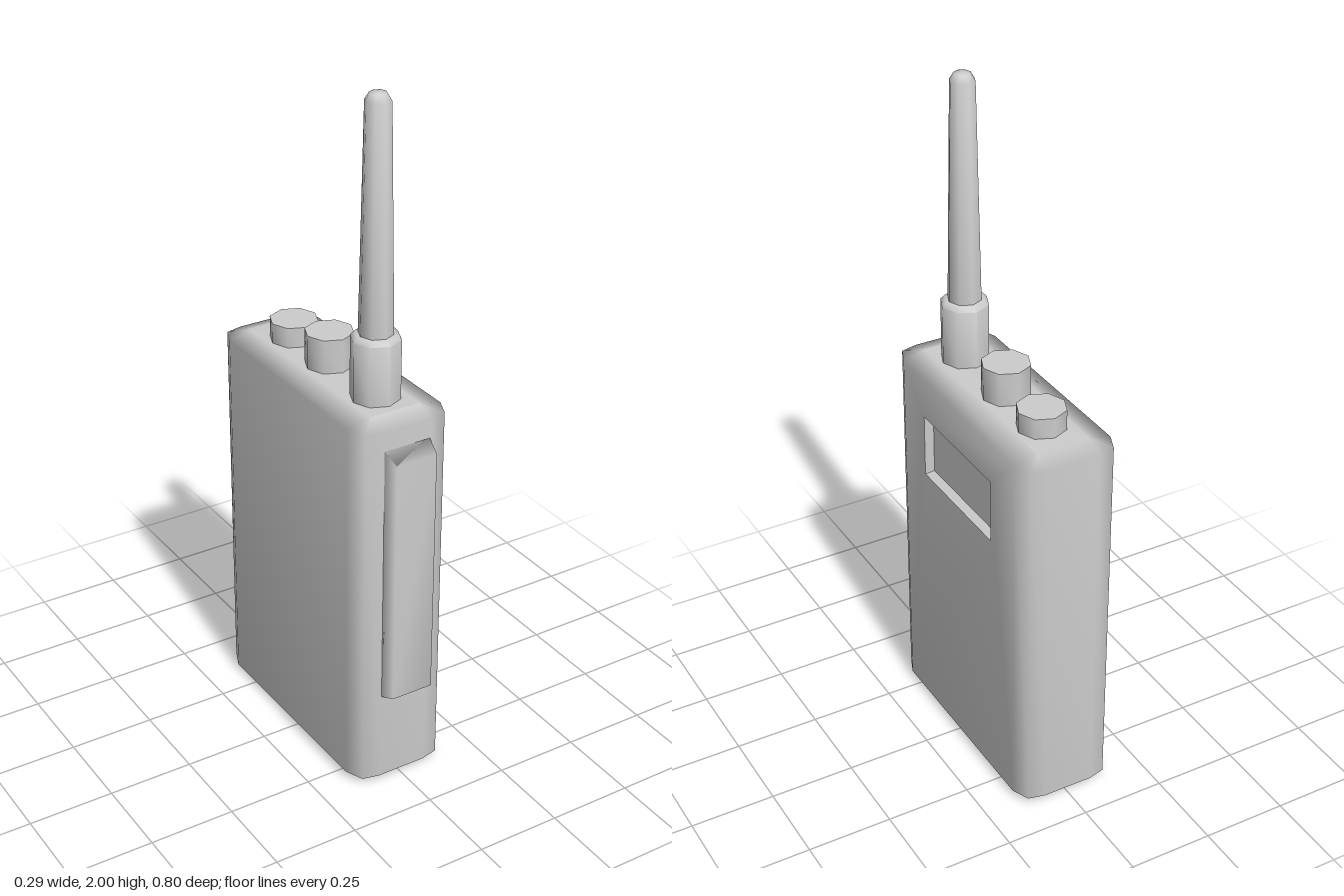
import * as THREE from 'three';
import { mergeVertices, mergeGeometries, toCreasedNormals } from 'three/addons/utils/BufferGeometryUtils.js';

const material = new THREE.MeshStandardMaterial({ color: 0xcccccc });

function addMesh(parent, name, geometry) {
  const mesh = new THREE.Mesh(geometry, material);
  mesh.name = name;
  parent.add(mesh);
  return mesh;
}

// Weld a geometry by position and shade it smoothly
function smooth(geometry) {
  geometry.deleteAttribute('uv');
  geometry.deleteAttribute('normal');
  const welded = mergeVertices(geometry, 1e-4);
  welded.computeVertexNormals();
  return welded;
}

const SIDE_X = 0.147;
const CORE = { x: 0.075, front: 0.29, back: -0.336 };
const RECESS = { front: 0.17, back: -0.21, bottom: 0.82, top: 1.01 };

// Horizontal outline with chamfered corners; spread 1 is full size, 0 the inner rectangle
function outline(y, spread) {
  const chamfer = [[0.072, 0], [0.05, 0.052], [0, 0.064]];
  const points = [];
  for (const [sx, sz] of [[1, 1], [-1, 1], [-1, -1], [1, -1]]) {
    const corner = chamfer.map(([dx, dz]) => [
      sx * (CORE.x + dx * spread), y, (sz > 0 ? CORE.front : CORE.back) + sz * dz * spread]);
    points.push(...(sx * sz > 0 ? corner : corner.reverse()));
  }
  return points;
}

function bodyGeometry() {
  const rings = [outline(0, 0.05), outline(0.02, 1), outline(1.132, 1), outline(1.15, 0.05)];
  const n = rings[0].length;
  const index = [];
  for (let i = 0; i < rings.length - 1; i++) {
    for (let j = 0; j < n; j++) {
      if (i === 1 && j === n - 1) continue; // left side is the panel with the opening
      const k = (j + 1) % n;
      const a = i * n + j, b = i * n + k, c = b + n, d = a + n;
      index.push(a, d, c, a, c, b);
    }
  }
  const top = (rings.length - 1) * n;
  for (let j = 1; j < n - 1; j++) {
    index.push(0, j, j + 1, top, top + j + 1, top + j);
  }
  const shell = new THREE.BufferGeometry();
  shell.setAttribute('position', new THREE.Float32BufferAttribute(rings.flat(2), 3));
  shell.setIndex(index);

  // Side panel with a rectangular opening
  const rect = (Type, z0, z1, y0, y1) => new Type(
    [[-z0, y0], [-z1, y0], [-z1, y1], [-z0, y1]].map(([x, y]) => new THREE.Vector2(x, y)));
  const shape = rect(THREE.Shape, CORE.front, CORE.back, 0.02, 1.132);
  shape.holes.push(rect(THREE.Path, RECESS.front, RECESS.back, RECESS.bottom, RECESS.top));
  const panel = new THREE.ShapeGeometry(shape).rotateY(Math.PI / 2).translate(SIDE_X, 0, 0);
  panel.deleteAttribute('uv');
  panel.deleteAttribute('normal');
  return smooth(mergeGeometries([shell, panel]));
}

// Shallow pocket: four sloped walls and a floor
function recessGeometry() {
  const loop = (x, inset) => [
    [x, RECESS.bottom + inset, RECESS.front - inset],
    [x, RECESS.bottom + inset, RECESS.back + inset],
    [x, RECESS.top - inset, RECESS.back + inset],
    [x, RECESS.top - inset, RECESS.front - inset]];
  const points = [...loop(SIDE_X, 0), ...loop(SIDE_X - 0.025, 0.008)];
  const index = [4, 5, 6, 4, 6, 7];
  for (let j = 0; j < 4; j++) {
    const k = (j + 1) % 4;
    index.push(j, k, k + 4, j, k + 4, j + 4);
  }
  const geometry = new THREE.BufferGeometry();
  geometry.setAttribute('position', new THREE.Float32BufferAttribute(points.flat(), 3));
  geometry.setIndex(index);
  return toCreasedNormals(geometry, 0.5);
}

// Raised front bar that narrows toward its outer face
function clipGeometry() {
  const geometry = new THREE.BoxGeometry(2, 2, 2);
  const p = geometry.attributes.position;
  for (let i = 0; i < p.count; i++) {
    const outer = p.getZ(i) > 0;
    const y = p.getY(i) > 0 ? (outer ? 1.05 : 1.08) : (outer ? 0.31 : 0.29);
    p.setXYZ(i, p.getX(i) * (outer ? 0.063 : 0.073), y, outer ? 0.4 : 0.345);
  }
  return smooth(geometry);
}

function turned(profile, z) {
  const points = profile.map(([r, y]) => new THREE.Vector2(r, y));
  const geometry = new THREE.LatheGeometry(points, 8);
  geometry.deleteAttribute('uv');
  geometry.deleteAttribute('normal');
  return toCreasedNormals(geometry, 1.0).translate(0, 0, z);
}

export function createModel() {
  const model = new THREE.Group();
  model.name = 'handheldRadio';

  addMesh(model, 'body', bodyGeometry());
  addMesh(model, 'sideRecess', recessGeometry());
  addMesh(model, 'frontClip', clipGeometry());

  // Antenna: thick collar, tapered rod and rounded tip
  addMesh(model, 'antennaCollar', turned(
    [[0.07, 1.14], [0.07, 1.325], [0.058, 1.338], [0.04, 1.338]], 0.197));
  addMesh(model, 'antennaRod', turned(
    [[0.049, 1.33], [0.036, 1.975], [0.024, 1.995], [0, 2]], 0.197));

  // Two control knobs on the top
  for (const [name, z, top] of [['tallKnob', -0.035, 1.25], ['shortKnob', -0.225, 1.21]]) {
    addMesh(model, name, turned([[0.07, 1.14], [0.07, top], [0, top]], z));
  }
  return model;
}
